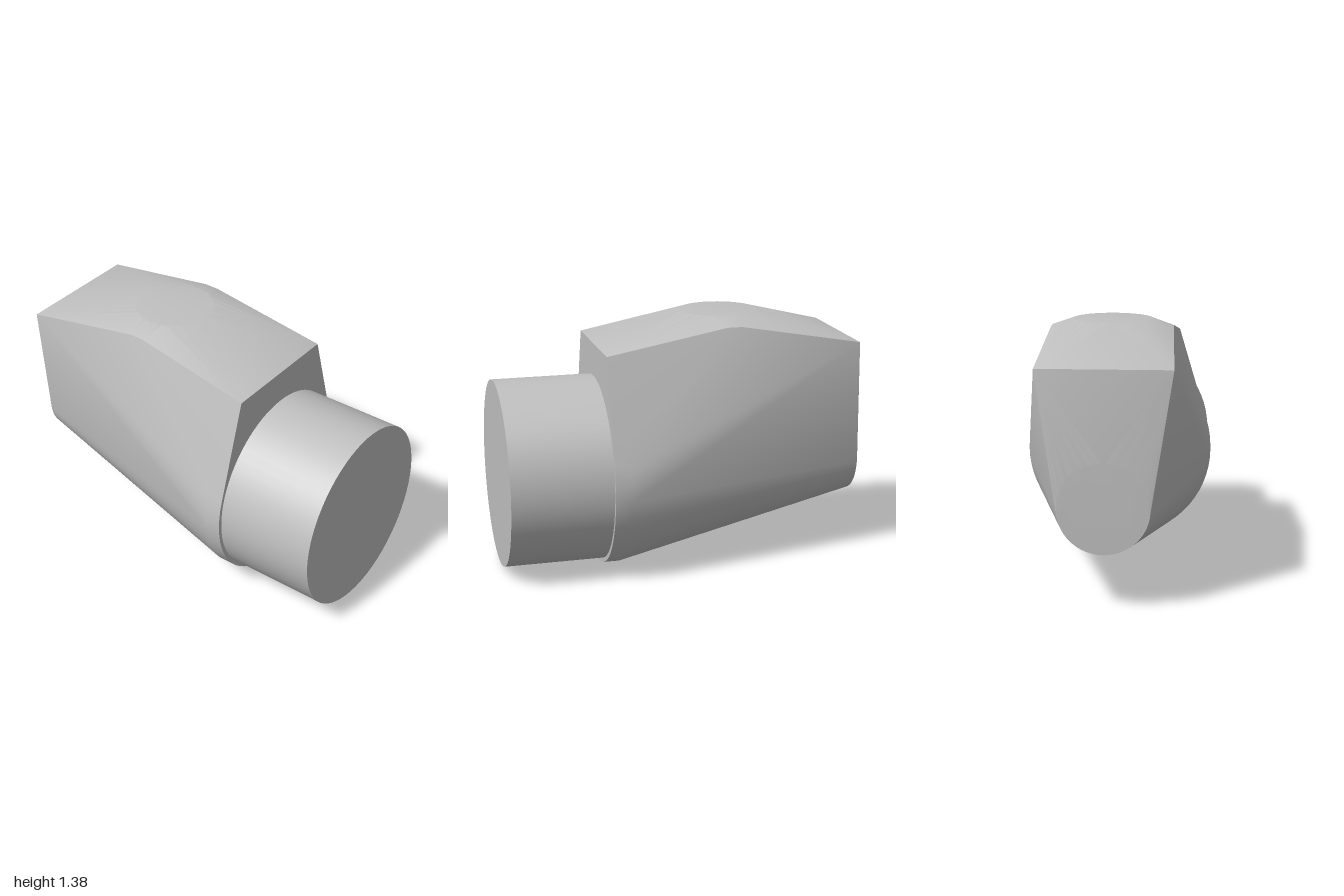
import * as THREE from 'three';
import { ConvexGeometry } from 'three/addons/geometries/ConvexGeometry.js';
import { toCreasedNormals } from 'three/addons/utils/BufferGeometryUtils.js';

const SEGMENTS = 64;

// Points of a circle lying across the x axis
function ringX(x, y, r) {
  return Array.from({ length: SEGMENTS }, (_, i) => {
    const a = (i / SEGMENTS) * Math.PI * 2;
    return new THREE.Vector3(x, y + r * Math.cos(a), r * Math.sin(a));
  });
}

// Points of a circle lying flat
function ringY(x, y, r) {
  return Array.from({ length: SEGMENTS }, (_, i) => {
    const a = (i / SEGMENTS) * Math.PI * 2;
    return new THREE.Vector3(x + r * Math.cos(a), y, r * Math.sin(a));
  });
}

export function createModel() {
  const group = new THREE.Group();
  const grey = new THREE.MeshStandardMaterial({ color: 0xc0c0c0 });
  grey.name = 'light grey';

  // Tapered housing: a skin stretched over the collar, small end and raised top
  const points = [
    ...ringX(0.455, 0.53, 0.53),
    ...ringX(0.37, 0.53, 0.53),
    ...ringX(-1, 0.535, 0.235),
    ...ringY(-0.245, 1.38, 0.213),
  ];
  for (const side of [-1, 1]) {
    // Roof corners and the short ridge halfway along each roof edge
    for (const [x, y, z] of [[-0.948, 1.225, 0.345], [0.455, 1.225, 0.345], [-0.285, 1.34, 0.325], [-0.205, 1.34, 0.325]]) {
      points.push(new THREE.Vector3(x, y, z * side));
    }
  }
  const housing = new THREE.Mesh(toCreasedNormals(new ConvexGeometry(points), 0.6), grey);
  housing.name = 'housing';
  group.add(housing);

  // Round spigot at the wide end
  const spigot = new THREE.Mesh(new THREE.CylinderGeometry(0.51, 0.51, 0.56, SEGMENTS), grey);
  spigot.name = 'spigot';
  spigot.rotation.z = -Math.PI / 2;
  spigot.position.set(0.72, 0.535, 0);
  group.add(spigot);

  return group;
}
